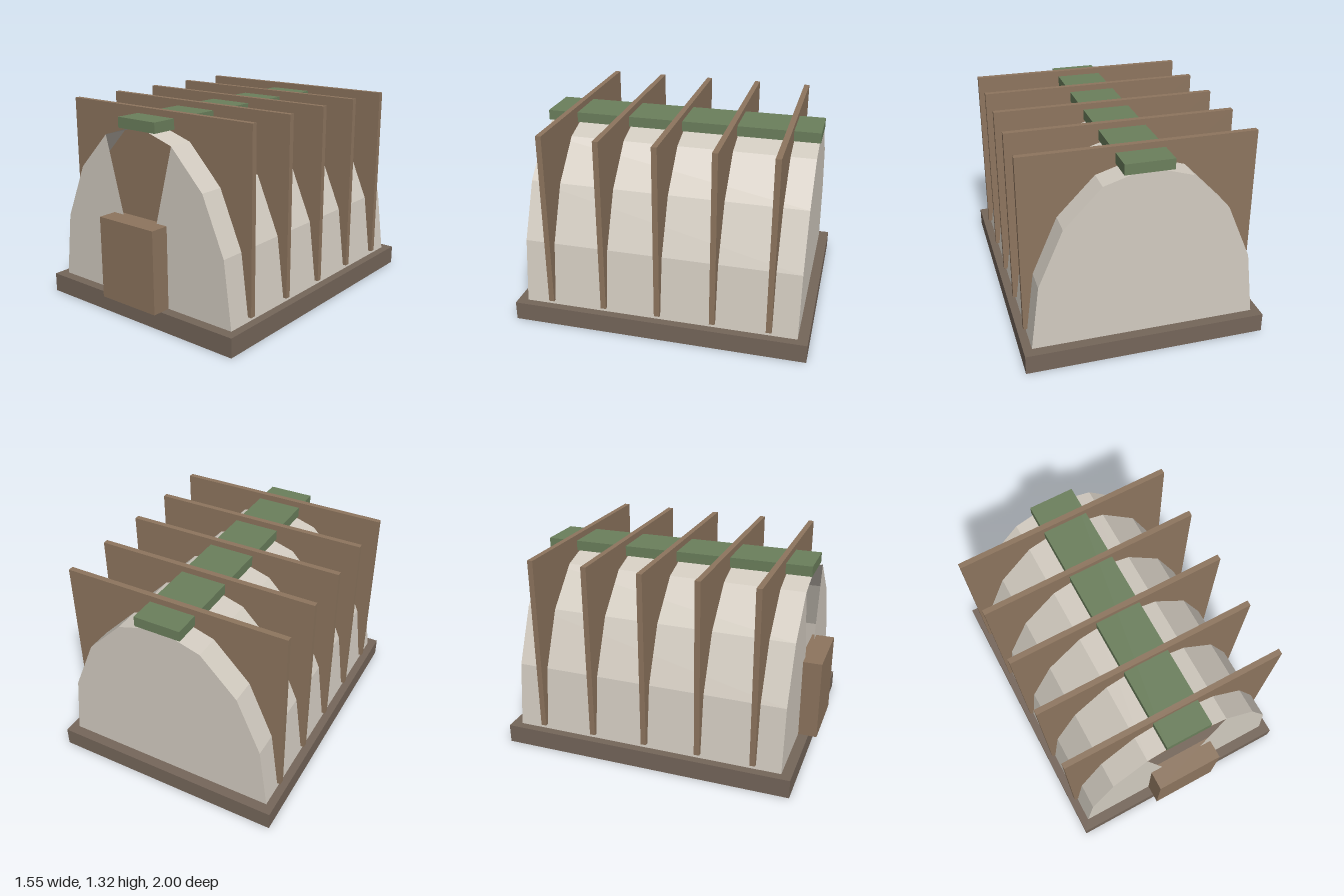
import * as THREE from 'three';

const material = (color, side = THREE.FrontSide) =>
  new THREE.MeshStandardMaterial({ color, side, flatShading: true });

export function createModel() {
  const model = new THREE.Group();
  const wood = material(0x8d755e);
  const darkWood = material(0x75665a);
  const canvas = material(0xd2cbc0, THREE.DoubleSide);
  const green = material(0x6b7f5c);

  function add(name, geometry, mat, parent = model) {
    const mesh = new THREE.Mesh(geometry, mat);
    mesh.name = name;
    parent.add(mesh);
    return mesh;
  }

  // Box given by its lower and upper limits on each axis
  function box(name, [x0, x1], [y0, y1], [z0, z1], mat) {
    const mesh = add(name, new THREE.BoxGeometry(x1 - x0, y1 - y0, z1 - z0), mat);
    mesh.position.set((x0 + x1) / 2, (y0 + y1) / 2, (z0 + z1) / 2);
  }

  const floorY = 0.125, front = 0.877, back = -0.933;
  const halfWidth = 0.722, rise = 1.115;

  box('base', [-0.776, 0.776], [0, floorY], [-1, 0.944], darkWood);

  // Arched shell: half of an eight-facet oval vault
  const shell = new THREE.Group();
  shell.name = 'shell';
  shell.position.y = floorY;
  shell.scale.set(halfWidth, rise, 1);
  model.add(shell);

  const vault = new THREE.CylinderGeometry(1, 1, front - back, 8, 1, true, -Math.PI / 2, Math.PI);
  vault.rotateX(-Math.PI / 2).translate(0, 0, (front + back) / 2);
  add('vault', vault, canvas, shell);

  const backWall = new THREE.CircleGeometry(1, 8, 0, Math.PI);
  add('backWall', backWall.rotateY(Math.PI).translate(0, 0, back), canvas, shell);

  // Front wall in two halves, with a wedge-shaped opening between them
  const step = Math.PI / 8;
  for (const [name, start] of [['frontWallLeft', 0], ['frontWallRight', 5 * step]]) {
    add(name, new THREE.CircleGeometry(1, 3, start, 3 * step).translate(0, 0, front), canvas, shell);
  }

  // Door block standing in the opening
  box('door', [-0.226, 0.226], [floorY, 0.66], [0.85, 1], wood);

  // Cross ribs through the vault
  for (let i = 0; i < 5; i++) {
    const z = 0.697 - i * 0.3625;
    box('rib', [-0.742, 0.742], [0.155, 1.32], [z - 0.018, z + 0.018], wood);
  }

  // Ridge cap along the top
  box('ridgeCap', [-0.153, 0.153], [1.213, 1.28], [-0.942, 0.884], green);

  return model;
}
